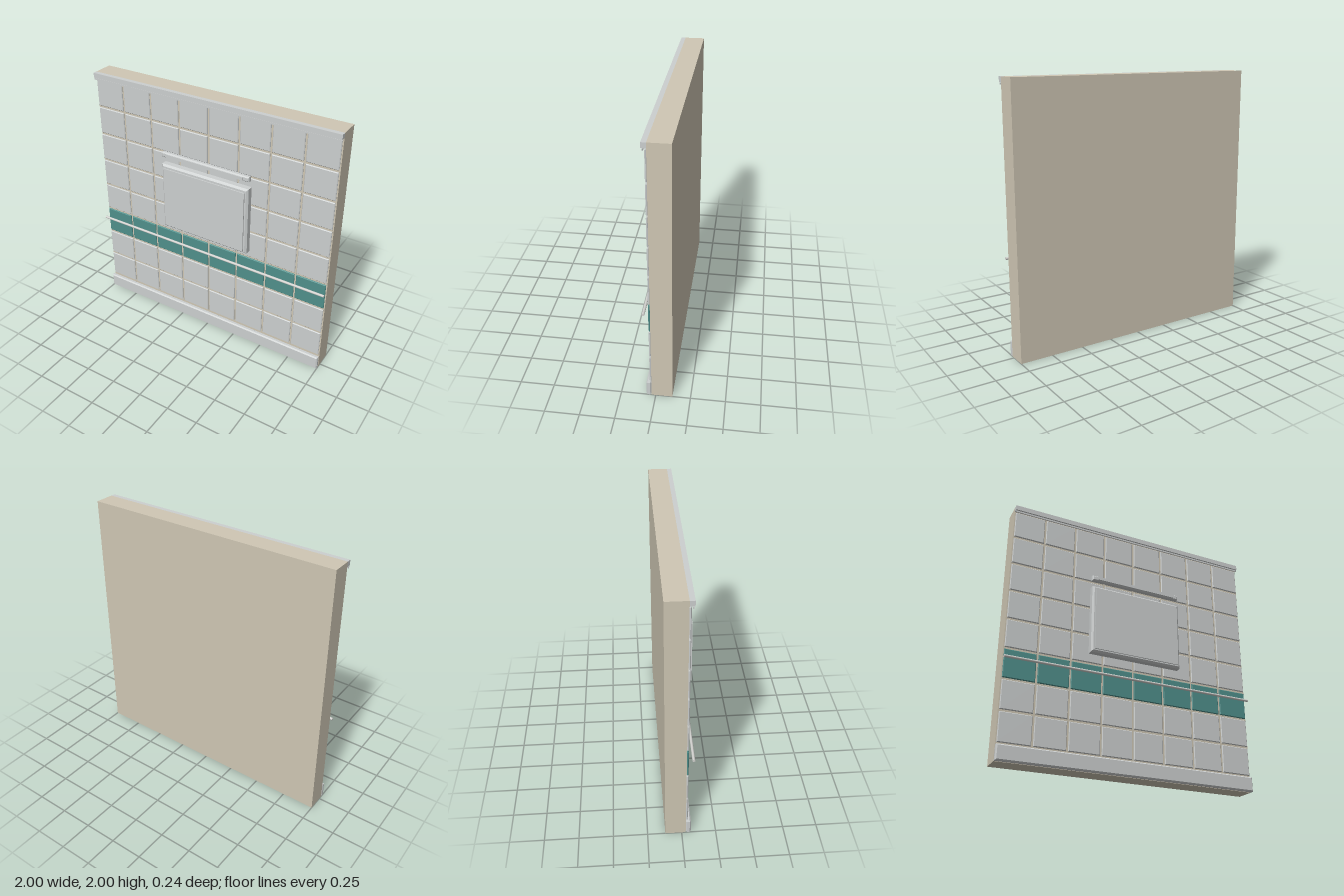
import * as THREE from 'three';

const mat = (name, color) => {
  const m = new THREE.MeshStandardMaterial({ color });
  m.name = name;
  return m;
};

// Box with chamfered edges, given by its outer limits
function chamferBox(x0, x1, y0, y1, z0, z1, b) {
  const w = (x1 - x0) / 2 - b, h = (y1 - y0) / 2 - b;
  const s = new THREE.Shape();
  s.moveTo(-w, -h);
  s.lineTo(w, -h);
  s.lineTo(w, h);
  s.lineTo(-w, h);
  s.closePath();
  const g = new THREE.ExtrudeGeometry(s, {
    depth: z1 - z0 - 2 * b, bevelEnabled: true,
    bevelSize: b, bevelThickness: b, bevelSegments: 1,
  });
  return g.translate((x0 + x1) / 2, (y0 + y1) / 2, z0 + b);
}

function plainBox(x0, x1, y0, y1, z0, z1) {
  return new THREE.BoxGeometry(x1 - x0, y1 - y0, z1 - z0)
    .translate((x0 + x1) / 2, (y0 + y1) / 2, (z0 + z1) / 2);
}

export function createModel() {
  const model = new THREE.Group();
  model.name = 'tiledWallPanel';
  const beige = mat('groutBeige', 0xcfc7b4);
  const grey = mat('tileGrey', 0xcccfcf);
  const teal = mat('bandTeal', 0x4f8f8b);
  const steel = mat('railSteel', 0xd3d3d0);

  const add = (name, geometry, material, parent = model) => {
    const mesh = new THREE.Mesh(geometry, material);
    mesh.name = name;
    parent.add(mesh);
    return mesh;
  };

  // Wall slab
  add('wall', plainBox(-1, 1, 0, 2, -0.12, 0.03), beige);

  // Eight by eight tiles, the third row coloured
  const tiles = new THREE.Group();
  tiles.name = 'tiles';
  model.add(tiles);
  const tile = chamferBox(-0.118, 0.118, -0.107, 0.107, 0.03, 0.044, 0.005);
  for (let row = 0; row < 8; row++) {
    for (let col = 0; col < 8; col++) {
      const t = add(row === 2 ? 'bandTile' : 'tile', tile, row === 2 ? teal : grey, tiles);
      t.position.set(-0.875 + col * 0.25, 0.235 + row * 0.2295, 0);
    }
  }

  // Skirting, cornice and the thin strip below the cornice
  add('skirting', chamferBox(-1, 1, 0, 0.112, 0.031, 0.068, 0.009), grey);
  add('cornice', plainBox(-1, 1, 1.962, 2, 0.03, 0.064), grey);
  add('corniceStrip', plainBox(-1, 1, 1.945, 1.958, 0.05, 0.058), grey);

  // Handrail
  const rail = add('handrail', new THREE.CylinderGeometry(0.01, 0.01, 2, 12), steel);
  rail.rotation.z = Math.PI / 2;
  rail.position.set(0, 0.73, 0.077);

  // Cabinet with a raised front panel
  add('cabinet', chamferBox(-0.37, 0.37, 0.88, 1.43, 0.042, 0.111, 0.014), grey);
  add('cabinetPanel', plainBox(-0.345, 0.345, 0.903, 1.4, 0.109, 0.12), grey);

  // Lamp bar above the cabinet
  add('lampBar', chamferBox(-0.37, 0.37, 1.485, 1.526, 0.064, 0.101, 0.008), grey);
  add('lampLens', plainBox(-0.325, 0.325, 1.493, 1.518, 0.098, 0.109), grey);

  return model;
}
